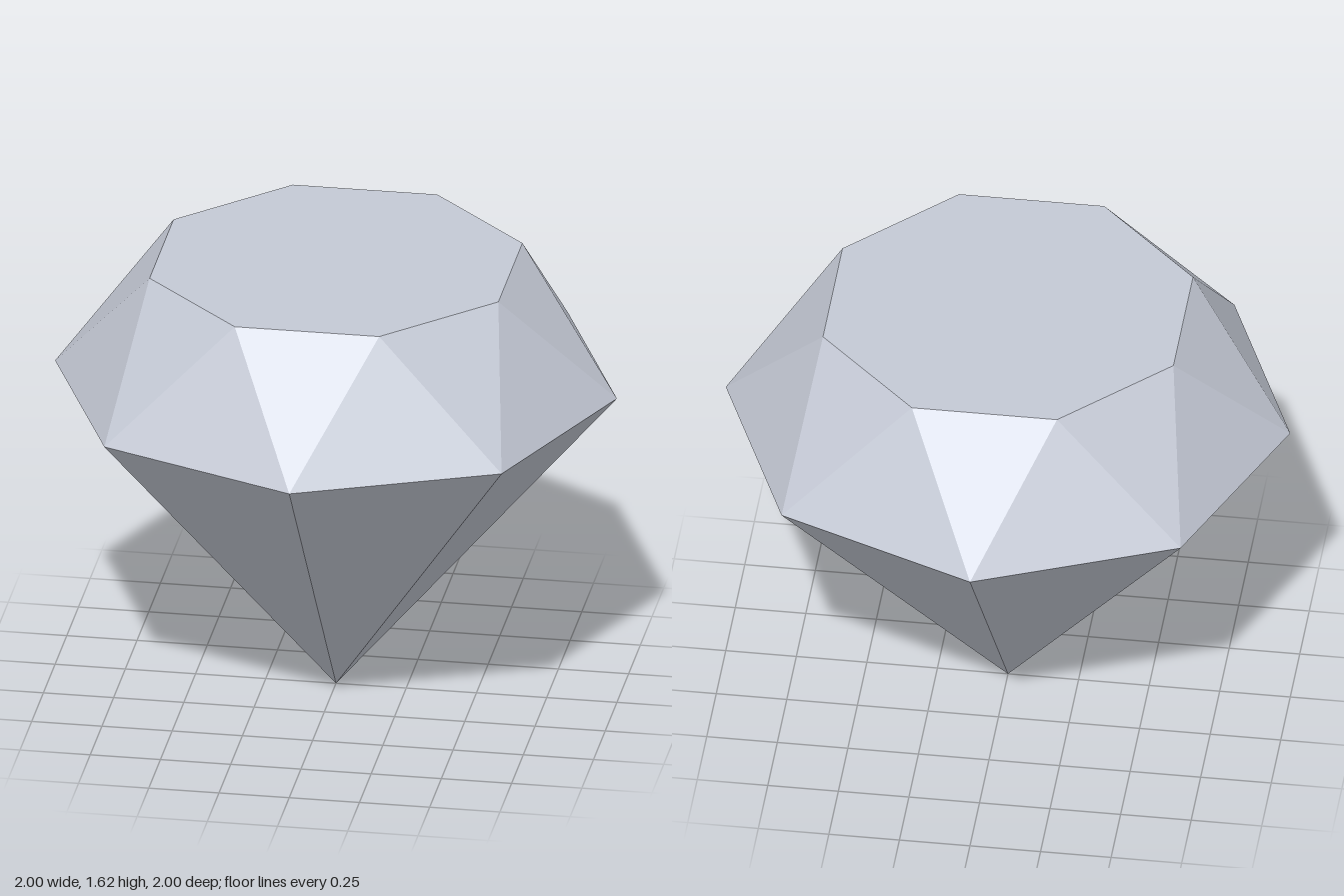
import * as THREE from 'three';

const SIDES = 8;
const GIRDLE_Y = 1.168, TABLE_Y = 1.625, TABLE_R = 0.672;

// Point on an eight-sided ring; step k counts in eighths of a turn
const ringPoint = (radius, y, k) => {
  const a = (k / SIDES) * Math.PI * 2;
  return [radius * Math.sin(a), y, radius * Math.cos(a)];
};
const girdle = (k) => ringPoint(1, GIRDLE_Y, k);
const table = (k) => ringPoint(TABLE_R, TABLE_Y, k + 0.5);

// Builds a faceted mesh by repeating the corners of one sector around the axis
function facets(name, material, sector) {
  const positions = [];
  for (let k = 0; k < SIDES; k++) positions.push(...sector(k).flat());
  const geometry = new THREE.BufferGeometry();
  geometry.setAttribute('position', new THREE.Float32BufferAttribute(positions, 3));
  geometry.computeVertexNormals();
  const mesh = new THREE.Mesh(geometry, material);
  mesh.name = name;
  return mesh;
}

export function createModel() {
  const gem = new THREE.Group();
  gem.name = 'gem';
  const crystal = new THREE.MeshStandardMaterial({ color: 0xc4c9d5, flatShading: true });
  crystal.name = 'paleCrystal';

  const tip = [0, 0, 0];
  const tableCentre = [0, TABLE_Y, 0];

  // Pointed lower half
  gem.add(facets('pavilion', crystal, (k) => [tip, girdle(k + 1), girdle(k)]));

  // Sloping band of alternating triangles
  gem.add(facets('crown', crystal, (k) => [
    girdle(k), girdle(k + 1), table(k),
    girdle(k + 1), table(k + 1), table(k),
  ]));

  // Flat top
  gem.add(facets('table', crystal, (k) => [tableCentre, table(k), table(k + 1)]));

  return gem;
}
